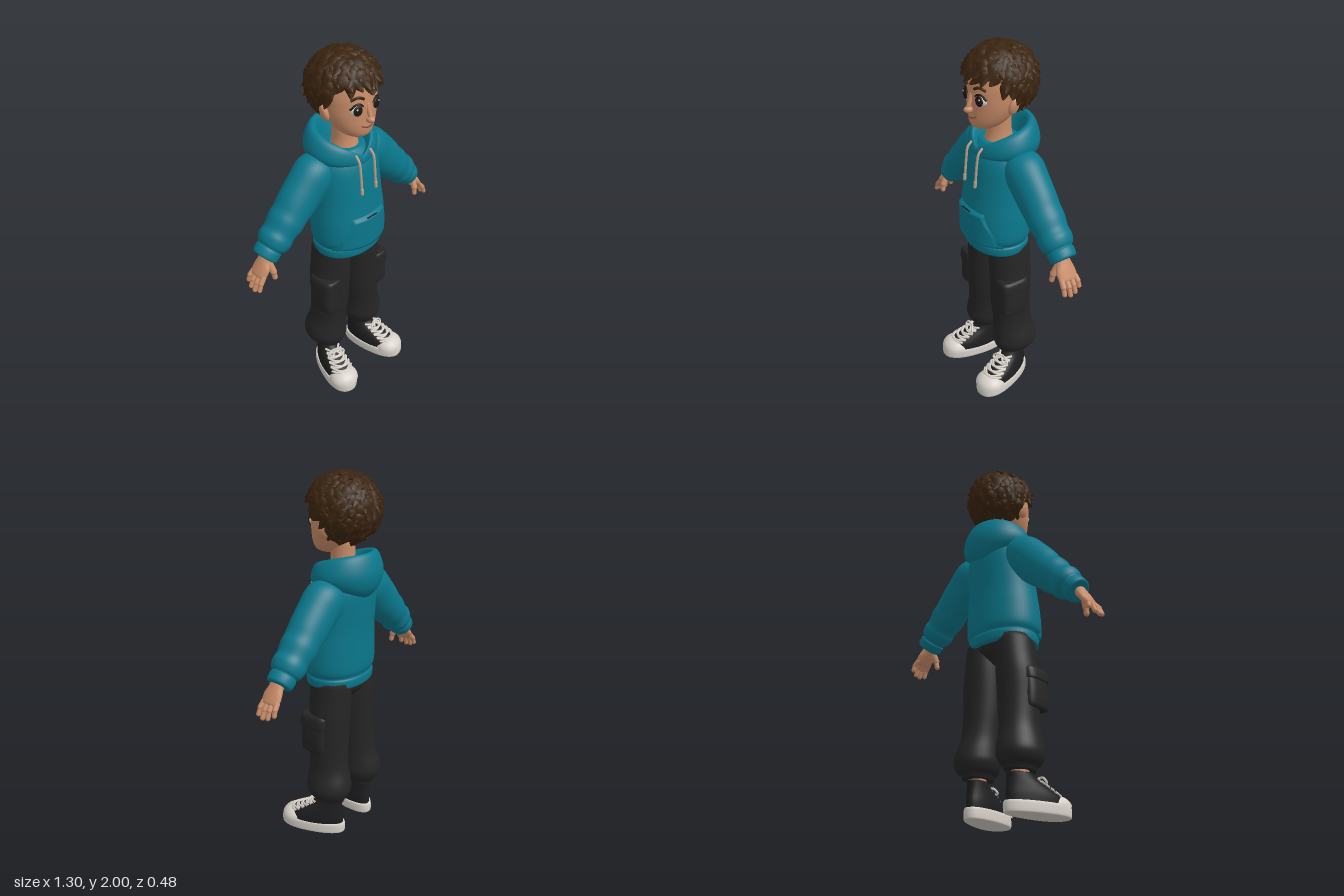
import * as THREE from 'three';
import { mergeGeometries } from 'three/addons/utils/BufferGeometryUtils.js';

const V = (x, y, z) => new THREE.Vector3(x, y, z);
const mat = (name, color, side = THREE.FrontSide) => {
  const m = new THREE.MeshStandardMaterial({ color, side });
  m.name = name;
  return m;
};

// Smooth surface closed around u, open along v
function surface(nu, nv, fn) {
  const pos = [], idx = [];
  for (let i = 0; i <= nv; i++)
    for (let j = 0; j < nu; j++) {
      pos.push(...fn(j / nu, i / nv));
      if (i === nv) continue;
      const a = i * nu + j, b = i * nu + (j + 1) % nu;
      idx.push(a, b, b + nu, a, b + nu, a + nu);
    }
  const g = new THREE.BufferGeometry();
  g.setAttribute('position', new THREE.Float32BufferAttribute(pos, 3));
  g.setIndex(idx);
  g.computeVertexNormals();
  return g;
}

// Catmull-Rom blend of number rows
function sample(rows, t) {
  const n = rows.length - 1, f = Math.min(t * n, n - 1e-6), i = Math.floor(f), s = f - i;
  const at = k => rows[Math.max(0, Math.min(n, k))];
  return rows[0].map((_, c) => {
    const [a, b, d, e] = [at(i - 1)[c], at(i)[c], at(i + 1)[c], at(i + 2)[c]];
    return b + 0.5 * s * (d - a + s * (2 * a - 5 * b + 4 * d - e + s * (3 * (b - d) + e - a)));
  });
}
const sup = (s, e) => Math.sign(s) * Math.abs(s) ** (2 / e);

// Rows run upward: [y, cx, cz, rx, rz]; ends are capped
function loft(rows, seg = 36, e = 2) {
  const nv = (rows.length - 1) * 4;
  return surface(seg, nv + 2, (u, v) => {
    const i = Math.round(v * (nv + 2));
    const [y, cx, cz, rx, rz] = sample(rows, Math.max(0, Math.min(1, (i - 1) / nv)));
    const k = i === 0 || i === nv + 2 ? 0 : 1, a = u * Math.PI * 2;
    return [cx + k * rx * sup(Math.sin(a), e), y, cz + k * rz * sup(Math.cos(a), e)];
  });
}
function warp(g, fn) {
  const p = g.attributes.position;
  for (let i = 0; i < p.count; i++) p.setXYZ(i, ...fn(p.getX(i), p.getY(i), p.getZ(i)));
  g.computeVertexNormals();
  return g;
}
const ball = (x, y, z, rx, ry, rz) => new THREE.SphereGeometry(1, 24, 18).scale(rx, ry, rz).translate(x, y, z);
const tube = (pts, r, n = 16) => new THREE.TubeGeometry(new THREE.CatmullRomCurve3(pts), n, r, 8);
function capsule(a, b, r) {
  const d = b.clone().sub(a), g = new THREE.CapsuleGeometry(r, d.length(), 6, 12);
  g.applyQuaternion(new THREE.Quaternion().setFromUnitVectors(V(0, 1, 0), d.normalize()));
  const c = a.clone().add(b).multiplyScalar(0.5);
  return g.translate(c.x, c.y, c.z);
}

// Curly hair: a cap tucked away at the face, covered with curled locks
function hairGeometry() {
  let seed = 7;
  const rnd = () => (seed = (seed * 16807) % 2147483647) / 2147483647;
  const C = V(0, 1.815, -0.035), R = V(0.17, 0.168, 0.18);
  const covered = p => p.y > (p.z > 0.05 ? 1.86 : p.z > -0.04 ? 1.8 : 1.67);
  const parts = [warp(new THREE.SphereGeometry(1, 48, 36), (x, y, z) => {
    const p = V(x, y, z).multiply(R).add(C), k = covered(p) ? 1 : 0.7;
    return p.sub(C).multiplyScalar(k).add(C).toArray();
  })];
  const N = 270;
  for (let i = 0; i < N; i++) {
    const h = 1 - 2 * (i + 0.5) / N, a = i * 2.39996, w = Math.sqrt(1 - h * h);
    const d = V(w * Math.sin(a), h, w * Math.cos(a)), p = d.clone().multiply(R).add(C);
    if (!covered(p)) continue;
    const n = d.clone().divide(R).normalize();
    const t = p.clone().sub(V(0.01, 2.02, -0.06)).normalize();
    t.add(V(rnd() - 0.5, rnd() - 0.6, rnd() - 0.5).multiplyScalar(1.3));
    t.addScaledVector(n, -t.dot(n)).normalize();
    const size = 0.8 + rnd() * 0.4;
    const lock = warp(new THREE.SphereGeometry(1, 8, 7), (x, y, z) => {
      const k = 1 - 0.5 * y, up = Math.max(0, y);
      return [(x * k * 0.03 + 0.012 * up * up) * size, y * 0.048 * size, (z * k * 0.017 + 0.017 * up * up) * size];
    });
    lock.applyMatrix4(new THREE.Matrix4().makeBasis(t.clone().cross(n), t, n).setPosition(p));
    parts.push(lock);
  }
  return mergeGeometries(parts);
}

export function createModel() {
  const model = new THREE.Group();
  const skin = mat('skin', 0xc88c68), teal = mat('teal fabric', 0x0a778b, THREE.DoubleSide);
  const pants = mat('charcoal fabric', 0x252526), hair = mat('brown hair', 0x3a230e);
  const canvas = mat('black canvas', 0x1e1e20), rubber = mat('off white', 0xd6d0c8);
  const cord = mat('beige cord', 0xb89f8c), dark = mat('dark eye', 0x1f1613), lip = mat('lip', 0x8a4a3a);
  const add = (name, g, m, parent = model) => {
    const mesh = new THREE.Mesh(g, m);
    mesh.name = name;
    parent.add(mesh);
    return mesh;
  };
  const group = (name, parent = model) => {
    const g = new THREE.Group();
    g.name = name;
    parent.add(g);
    return g;
  };

  // Head and neck
  add('head', loft([[1.582, 0, 0.06, 0.03, 0.04], [1.6, 0, 0.05, 0.072, 0.075], [1.64, 0, 0.03, 0.108, 0.105],
    [1.7, 0, 0.01, 0.134, 0.125], [1.76, 0, 0, 0.142, 0.135], [1.82, 0, -0.01, 0.145, 0.139],
    [1.89, 0, -0.02, 0.13, 0.13], [1.95, 0, -0.03, 0.07, 0.07]], 48), skin);
  add('neck', loft([[1.4, 0, -0.03, 0.1, 0.1], [1.48, 0, -0.03, 0.075, 0.08], [1.55, 0, -0.03, 0.062, 0.065],
    [1.66, 0, -0.03, 0.065, 0.065]]), skin);
  add('nose', ball(0, 1.692, 0.146, 0.02, 0.018, 0.027), skin);
  add('noseBridge', capsule(V(0, 1.765, 0.128), V(0, 1.7, 0.15), 0.012), skin);
  add('mouth', tube([V(-0.04, 1.662, 0.127), V(-0.02, 1.652, 0.136), V(0, 1.649, 0.139), V(0.02, 1.652, 0.136),
    V(0.04, 1.662, 0.127)], 0.004), lip);
  add('hair', hairGeometry(), hair);

  // Hoodie body
  const torso = [[0.885, 0, -0.01, 0.185, 0.145], [0.897, 0, -0.01, 0.2, 0.156], [0.935, 0, -0.01, 0.202, 0.158],
    [0.95, 0, -0.01, 0.195, 0.152], [0.99, 0, -0.005, 0.213, 0.17], [1.1, 0, -0.008, 0.21, 0.168],
    [1.2, 0, -0.015, 0.2, 0.162], [1.3, 0, -0.025, 0.195, 0.16], [1.4, 0, -0.035, 0.19, 0.155],
    [1.46, 0, -0.04, 0.165, 0.135], [1.5, 0, -0.04, 0.11, 0.1]];
  add('hoodieBody', loft(torso, 48, 2.15), teal);

  // Hood rows: [side radius, front radius, back radius, y, front drop, back sag]
  const hood = [[0.14, 0.11, 0.13, 1.42, 0.0, 0.05], [0.19, 0.16, 0.175, 1.46, 0.03, 0.03], [0.202, 0.165, 0.188, 1.52, 0.07, 0.01],
    [0.172, 0.158, 0.16, 1.598, 0.13, 0], [0.13, 0.147, 0.125, 1.6, 0.132, 0], [0.095, 0.1, 0.09, 1.5, 0.09, 0]];
  add('hood', surface(64, 25, (u, v) => {
    const a = u * Math.PI * 2, c = Math.cos(a), [sx, f, b, y, drop, sag] = sample(hood, v);
    const k = (1 - Math.abs(Math.sin(a / 2))) ** 1.3;
    return [sx * Math.sin(a), y - drop * k - sag * Math.max(0, -c) ** 2, -0.05 + (c > 0 ? f : b) * c];
  }), teal);

  // Front pouch, wrapped over the belly
  add('pouchPocket', warp(new THREE.PlaneGeometry(2, 1, 24, 16), (x, v) => {
    const t = v + 0.5, y = 0.945 + 0.2 * t;
    const half = 0.185 - 0.07 * THREE.MathUtils.smoothstep(t, 0.25, 1);
    const edge = Math.abs(x) > 0.99 || t < 0.01 || t > 0.99, px = x * half;
    const z = -0.007 + 0.169 * Math.sqrt(1 - (px / 0.212) ** 2);
    return [px, y, z + (edge ? -0.012 : 0.013)];
  }), teal);
  add('pouchStitch', new THREE.BoxGeometry(0.07, 0.005, 0.006).translate(0, 1.138, 0.174), canvas);

  // Hips
  add('hips', loft([[0.79, 0, -0.03, 0.02, 0.05], [0.84, 0, -0.03, 0.1, 0.1], [0.88, 0, -0.03, 0.185, 0.115],
    [0.95, 0, -0.02, 0.185, 0.12]]), pants);

  for (const side of [1, -1]) {
    const half = group(side > 0 ? 'leftSide' : 'rightSide');
    half.scale.x = side;

    // Face details
    const ear = add('ear', ball(0, 0, 0, 0.02, 0.048, 0.034), skin, half);
    ear.position.set(0.147, 1.722, -0.018);
    ear.rotation.set(-0.15, 0.35, -0.2);
    const eye = group('eye', half);
    eye.position.set(0.058, 1.75, 0.105);
    eye.rotation.y = 0.2;
    add('eyeWhite', ball(0, 0, 0, 0.036, 0.031, 0.027), rubber, eye);
    add('iris', ball(0, 0, 0.022, 0.025, 0.027, 0.009), dark, eye);
    add('eyeGlint', ball(0.008, 0.01, 0.029, 0.005, 0.005, 0.003), rubber, eye);
    add('upperLid', tube([V(-0.037, 0.004, 0.014), V(-0.02, 0.026, 0.019), V(0.008, 0.032, 0.018), V(0.038, 0.008, 0.008)], 0.005), dark, eye);
    add('eyebrow', tube([V(0.028, 1.803, 0.131), V(0.058, 1.816, 0.123), V(0.092, 1.804, 0.104)], 0.007), hair, half);

    // Drawstring
    add('drawstring', tube([V(0.05, 1.49, 0.1), V(0.051, 1.465, 0.125), V(0.05, 1.4, 0.137), V(0.05, 1.28, 0.148)], 0.007), cord, half);
    add('drawstringTip', capsule(V(0.05, 1.31, 0.147), V(0.05, 1.285, 0.149), 0.009), cord, half);

    // Sleeve with ribbed cuff
    const arm = group('arm', half);
    arm.position.set(0.15, 1.42, -0.055);
    arm.rotation.z = 0.805;
    const sleeve = [[-0.545, 0.05, 0.055], [-0.538, 0.065, 0.068], [-0.5, 0.068, 0.072], [-0.488, 0.064, 0.068],
      [-0.47, 0.078, 0.082], [-0.435, 0.089, 0.09], [-0.395, 0.084, 0.087], [-0.34, 0.097, 0.095], [-0.29, 0.097, 0.095],
      [-0.23, 0.108, 0.097], [-0.14, 0.114, 0.1], [-0.05, 0.114, 0.104], [0.01, 0.085, 0.085], [0.05, 0.03, 0.03]];
    add('sleeve', loft(sleeve.map(([y, rx, rz]) => [y, 0, 0, rx, rz])), teal, arm);

    // Hand
    const hand = group('hand', half);
    hand.position.set(0.53, 1.06, -0.045);
    hand.rotation.z = 0.6;
    add('palm', loft([[-0.125, 0, 0, 0.012, 0.045], [-0.115, 0, 0, 0.019, 0.054], [-0.07, 0, 0.002, 0.024, 0.054],
      [-0.03, 0, 0, 0.027, 0.042], [0.03, 0, 0, 0.032, 0.038]], 24), skin, hand);
    for (let i = 0; i < 4; i++) {
      const z = 0.041 - i * 0.0275, len = [0.07, 0.082, 0.076, 0.055][i];
      add('finger', capsule(V(0, -0.11, z), V(0.004, -0.112 - len * 0.5, z * 1.1), 0.0145), skin, hand);
      add('fingertip', capsule(V(0.004, -0.112 - len * 0.5, z * 1.1), V(-0.004, -0.112 - len, z * 1.15), 0.0125), skin, hand);
    }
    add('thumb', capsule(V(-0.005, -0.03, 0.025), V(-0.04, -0.07, 0.05), 0.018), skin, hand);
    add('thumbTip', capsule(V(-0.04, -0.07, 0.05), V(-0.062, -0.097, 0.056), 0.014), skin, hand);

    // Trouser leg and cargo pocket
    add('trouserLeg', loft([[0.205, 0.14, -0.045, 0.066, 0.092], [0.228, 0.14, -0.045, 0.078, 0.102], [0.243, 0.143, -0.045, 0.1, 0.115],
      [0.285, 0.143, -0.046, 0.117, 0.128], [0.335, 0.14, -0.045, 0.113, 0.123], [0.42, 0.128, -0.035, 0.1, 0.11],
      [0.55, 0.12, -0.028, 0.105, 0.112], [0.7, 0.115, -0.03, 0.109, 0.115], [0.8, 0.107, -0.03, 0.104, 0.117],
      [0.92, 0.1, -0.03, 0.098, 0.114]]), pants, half);
    add('cargoPocket', loft([[0.515, 0.185, 0.005, 0.04, 0.065], [0.53, 0.187, 0.005, 0.053, 0.078], [0.6, 0.187, 0.005, 0.056, 0.08],
      [0.68, 0.185, 0.005, 0.052, 0.078]], 32, 3.5), pants, half);
    add('cargoFlap', loft([[0.665, 0.185, 0.005, 0.055, 0.08], [0.672, 0.185, 0.005, 0.061, 0.085], [0.72, 0.183, 0.005, 0.056, 0.084],
      [0.735, 0.18, 0.005, 0.045, 0.075]], 32, 3.5), pants, half);
    add('ankle', new THREE.CylinderGeometry(0.05, 0.045, 0.16, 24).translate(0.14, 0.21, -0.05), skin, half);

    // Sneaker, wider toward the toe
    const shoe = group('shoe', half);
    shoe.position.set(0.165, 0, 0.05);
    shoe.rotation.y = 0.26;
    const flare = g => warp(g, (x, y, z) => [x * (1 + 0.9 * z), y, z]);
    add('sole', flare(loft([[0, 0, 0, 0.077, 0.183], [0.008, 0, 0, 0.083, 0.19], [0.045, 0, 0, 0.083, 0.19],
      [0.058, 0, 0, 0.08, 0.186]], 40, 2.3)), rubber, shoe);
    add('shoeUpper', flare(loft([[0.045, 0, 0, 0.077, 0.178], [0.09, 0, -0.015, 0.076, 0.165], [0.13, 0, -0.05, 0.068, 0.125],
      [0.165, 0, -0.085, 0.059, 0.088], [0.195, 0, -0.102, 0.053, 0.074]], 40)), canvas, shoe);
    add('toeCap', flare(new THREE.SphereGeometry(1, 32, 12, 0, Math.PI * 2, 0, Math.PI / 2).scale(0.077, 0.062, 0.085)
      .translate(0, 0.05, 0.103)), rubber, shoe);
    const onUpper = (t, a) => {
      const rx = 0.08 - 0.02 * t, rz = 0.161 - 0.074 * t, z = -0.02 - 0.07 * t + rz * Math.cos(a);
      return V(rx * Math.sin(a) * (1 + 0.9 * z), 0.1 + 0.075 * t, z);
    };
    for (let i = 0; i < 5; i++) {
      const t = 0.12 + i * 0.2;
      for (const s of [1, -1])
        add('lace', tube([-0.85, -0.4, 0, 0.4, 0.85].map(a => onUpper(t + 0.1 * s * a, a)), 0.0065), rubber, shoe);
    }
    for (const s of [1, -1])
      add('laceBow', tube([V(0, 0.178, 0), V(s * 0.03, 0.185, 0.012), V(s * 0.052, 0.16, 0.02), V(s * 0.035, 0.155, 0.03),
        V(0, 0.174, 0.008)], 0.006), rubber, shoe);
  }
  return model;
}
